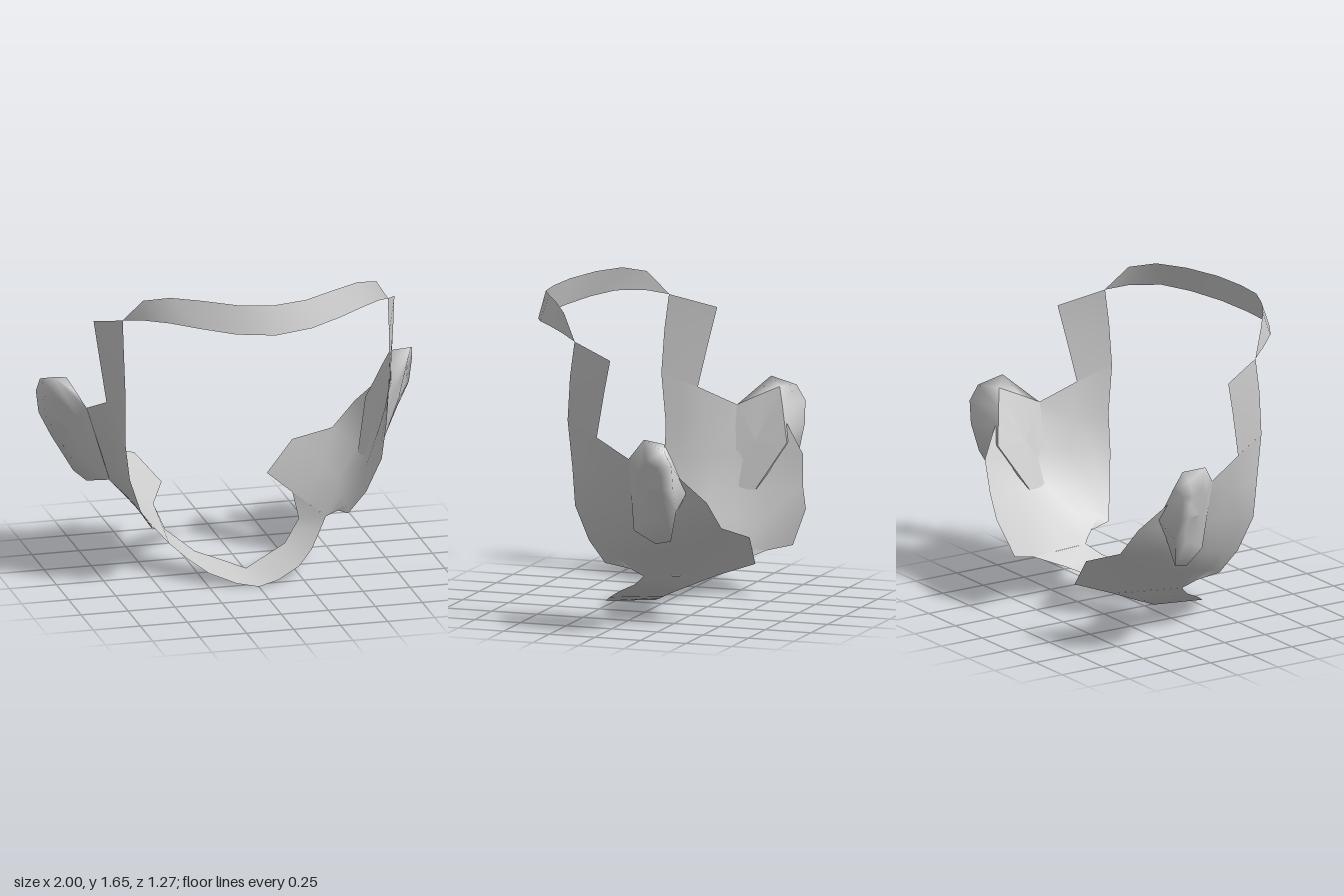
import * as THREE from 'three';

const material = new THREE.MeshStandardMaterial({ color: 0xcccccc, side: THREE.DoubleSide });

// Smooth skin stretched over rows of points; closed joins each row's ends
function loft(name, rows, side = 1, closed = false) {
  const n = rows[0].length, index = [];
  for (let r = 0; r < rows.length - 1; r++) {
    for (let c = 0; c < (closed ? n : n - 1); c++) {
      const d = (c + 1) % n;
      const a = r * n + c, b = r * n + d, e = a + n, f = b + n - 0;
      const quad = [a, e, b, b, e, f];
      index.push(...(side > 0 ? quad : quad.reverse()));
    }
  }
  const geo = new THREE.BufferGeometry();
  const pos = rows.flat().flatMap(([x, y, z]) => [x * side, y, z]);
  geo.setAttribute('position', new THREE.Float32BufferAttribute(pos, 3));
  geo.setIndex(index);
  geo.computeVertexNormals();
  const mesh = new THREE.Mesh(geo, material);
  mesh.name = name;
  return mesh;
}

// Complete a half row list (ending or starting at x = 0) on the other side
const mirrorRows = half => [
  ...half.slice(1).reverse().map(row => row.map(([x, y, z]) => [-x, y, z])),
  ...half,
];

const mix = (a, b, t) => a.map((v, i) => v + (b[i] - v) * t);

// Band over the forehead: [lower, upper] from the middle outwards
const BROW = [
  [[0, 1.48, 0.635], [0, 1.63, 0.595]],
  [[0.2, 1.492, 0.605], [0.18, 1.637, 0.57]],
  [[0.37, 1.512, 0.53], [0.35, 1.65, 0.49]],
  [[0.51, 1.525, 0.44], [0.5, 1.65, 0.4]],
  [[0.63, 1.513, 0.32], [0.62, 1.615, 0.31]],
  [[0.705, 1.485, 0.22], [0.705, 1.487, 0.22]],
];

// Strap under the chin: [front, back] from the middle outwards
const CHIN = [
  [[0, 0.003, 0.295], [0, 0.02, 0.035]],
  [[0.11, 0.02, 0.265], [0.12, 0.055, -0.035]],
  [[0.24, 0.065, 0.2], [0.24, 0.09, -0.1]],
  [[0.33, 0.12, 0.11], [0.3, 0.13, -0.18]],
  [[0.4, 0.175, 0], [0.355, 0.165, -0.255]],
  [[0.45, 0.23, -0.065], [0.37, 0.245, -0.44]],
];

// Temple strip: [front, back] from the top down
const TEMPLE = [
  [[0.705, 1.485, 0.22], [0.8, 1.415, -0.01]],
  [[0.705, 1.3, 0.245], [0.782, 1.24, 0.03]],
  [[0.7, 1.07, 0.26], [0.755, 1.0, 0.08]],
];

// Cheek plate: rows from the top down, each from front to back
const CHEEK = [
  [[0.7, 1.07, 0.26], [0.728, 1.035, 0.17], [0.755, 1, 0.08], [0.81, 0.91, -0.115], [0.83, 0.905, -0.22], [0.845, 0.9, -0.325]],
  [[0.695, 0.82, 0.235], [0.715, 0.82, 0.14], [0.735, 0.82, 0.04], [0.78, 0.815, -0.11], [0.805, 0.81, -0.26], [0.79, 0.8, -0.415]],
  [[0.67, 0.62, 0.23], [0.685, 0.64, 0.13], [0.7, 0.66, 0], [0.735, 0.67, -0.12], [0.755, 0.68, -0.3], [0.72, 0.69, -0.51]],
  [[0.6, 0.43, 0.18], [0.62, 0.45, 0.08], [0.645, 0.47, -0.03], [0.675, 0.49, -0.15], [0.68, 0.51, -0.32], [0.61, 0.54, -0.55]],
  [[0.52, 0.3, 0.12], [0.53, 0.33, 0.06], [0.545, 0.35, -0.05], [0.55, 0.37, -0.2], [0.53, 0.4, -0.4], [0.42, 0.465, -0.635]],
  [[0.5, 0.275, -0.01], [0.475, 0.252, -0.038], [0.45, 0.23, -0.065], [0.41, 0.238, -0.25], [0.37, 0.245, -0.44], [0.28, 0.3, -0.615]],
];

// Ear: matching loops for the inner face and the outer rim
const EAR_INNER = [
  [0.81, 0.91, -0.115], [0.835, 0.96, -0.22], [0.86, 1.01, -0.33],
  [0.82, 0.915, -0.36], [0.785, 0.825, -0.385], [0.75, 0.74, -0.41],
  [0.71, 0.615, -0.335], [0.67, 0.49, -0.26], [0.69, 0.515, -0.1],
];
const EAR_RIM = [
  [0.812, 0.91, -0.115], [0.95, 1.045, -0.25], [0.99, 1.0, -0.375],
  [1.0, 0.92, -0.42], [0.985, 0.8, -0.422], [0.92, 0.67, -0.415],
  [0.82, 0.495, -0.35], [0.775, 0.468, -0.25], [0.692, 0.515, -0.1],
];
const EAR_CENTRE = [0.885, 0.77, -0.25];

function ear(side) {
  const group = new THREE.Group();
  group.name = side > 0 ? 'leftEar' : 'rightEar';
  // Shell runs from the inner face round the rim to the outer face
  const outer = EAR_RIM.map(p => mix(p, EAR_CENTRE, 0.45));
  const tip = EAR_RIM.map(() => EAR_CENTRE);
  group.add(loft('earShell', [EAR_INNER, EAR_RIM, outer, tip], side, true));
  const middle = EAR_INNER.map(() => [0.76, 0.735, -0.235]);
  group.add(loft('earInnerFace', [EAR_INNER, middle], side, true));
  return group;
}

export function createModel() {
  const model = new THREE.Group();
  model.name = 'headFrame';
  model.add(loft('browBand', mirrorRows(BROW)));
  model.add(loft('chinStrap', mirrorRows(CHIN)));
  for (const side of [1, -1]) {
    const label = side > 0 ? 'left' : 'right';
    model.add(loft(label + 'TempleStrip', TEMPLE, side));
    model.add(loft(label + 'CheekPlate', CHEEK, side));
    model.add(ear(side));
  }
  return model;
}
